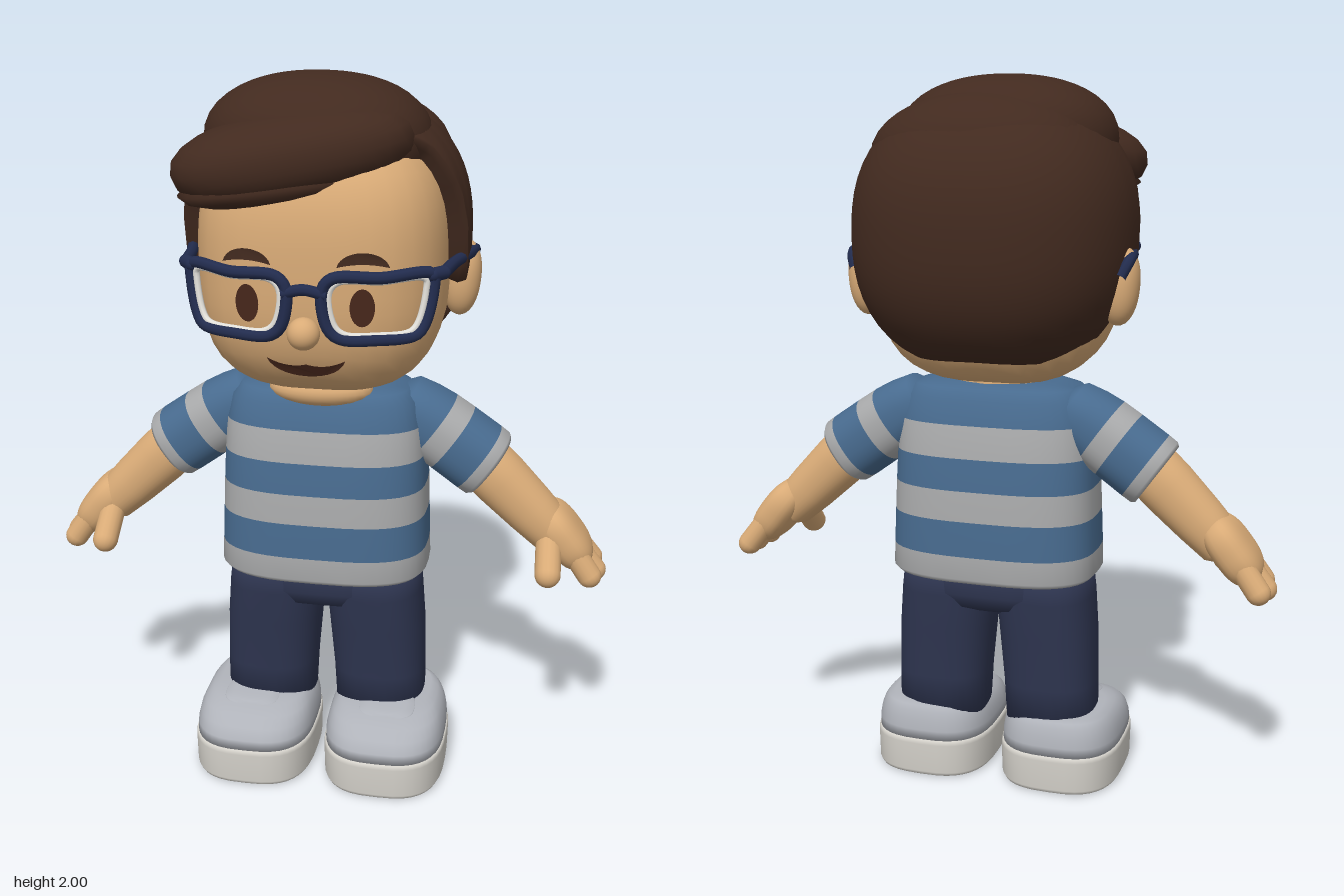
import * as THREE from 'three';
import { mergeVertices } from 'three/addons/utils/BufferGeometryUtils.js';

const mat = (name, color) => Object.assign(new THREE.MeshStandardMaterial({ color }), { name });
const V = (x, y, z) => new THREE.Vector3(x, y, z);
const HEAD_Y = 1.52;
const HEAD = { rx: 0.33, up: 0.36, down: 0.35, front: 0.335, back: 0.24, n: 3 };
const HAIR = { rx: 0.385, up: 0.37, down: 0.38, front: 0.335, back: 0.385, n: 2.4 };

// Distance to a rounded-box-like surface along a direction
function reach(d, s) {
  const q = (v, r) => Math.pow(Math.abs(v) / r, s.n);
  return Math.pow(q(d.x, s.rx) + q(d.y, d.y > 0 ? s.up : s.down) + q(d.z, d.z > 0 ? s.front : s.back), -1 / s.n);
}

function smooth(geo) {
  geo.deleteAttribute('normal');
  geo.deleteAttribute('uv');
  const g = mergeVertices(geo, 1e-5);
  g.computeVertexNormals();
  return g;
}

function blob(s) {
  const g = new THREE.SphereGeometry(1, 40, 28), p = g.attributes.position, d = V();
  for (let i = 0; i < p.count; i++) {
    d.fromBufferAttribute(p, i).normalize();
    d.multiplyScalar(reach(d, s));
    p.setXYZ(i, d.x, d.y, d.z);
  }
  return smooth(g);
}
const egg = (rx, ry, rz, n = 2) => blob({ rx, up: ry, down: ry, front: rz, back: rz, n });

// Stacked superellipse rings [y, halfX, halfZ, centreX, centreZ], one group per band
function loft(rings, n = 2, bands = null, seg = 40) {
  const pos = [], idx = [], g = new THREE.BufferGeometry();
  const pw = (v) => Math.sign(v) * Math.pow(Math.abs(v), 2 / n);
  for (const [y, hx, hz, cx = 0, cz = 0] of rings)
    for (let j = 0; j < seg; j++) {
      const a = (j / seg) * Math.PI * 2;
      pos.push(cx + hx * pw(Math.cos(a)), y, cz + hz * pw(Math.sin(a)));
    }
  const last = rings.length - 1, c0 = rings.length * seg;
  for (const r of [rings[0], rings[last]]) pos.push(r[3] || 0, r[0], r[4] || 0);
  for (let i = 0; i <= last; i++)
    for (let j = 0; j < seg; j++) {
      const k = (j + 1) % seg, a = i * seg + j, b = i * seg + k;
      if (i === 0) idx.push(c0, j, k);
      if (i < last) idx.push(a, a + seg, b + seg, a, b + seg, b);
      else idx.push(c0 + 1, b, a);
    }
  g.setAttribute('position', new THREE.Float32BufferAttribute(pos, 3));
  g.setIndex(idx);
  g.computeVertexNormals();
  if (bands) {
    let start = 0;
    for (let i = 0; i <= last; i++) {
      const count = seg * (i === 0 ? 9 : i < last ? 6 : 3);
      g.addGroup(start, count, bands[Math.min(i, bands.length - 1)]);
      start += count;
    }
  }
  return g;
}

// Hair cap whose lower edge follows the hairline (azimuth from front, elevation)
function hairCap() {
  const line = [[0, 45], [58, 42], [67, 36], [78, 13], [82, -6], [85, -19], [96, -19], [103, -45], [115, -56], [181, -56]];
  const hem = (az) => {
    const i = Math.max(1, line.findIndex((l) => l[0] >= az));
    const [a, b] = [line[i - 1], line[i]];
    return a[1] + ((b[1] - a[1]) * (az - a[0])) / (b[0] - a[0]);
  };
  const g = new THREE.SphereGeometry(1, 108, 30), p = g.attributes.position, uv = g.attributes.uv, d = V();
  for (let i = 0; i < p.count; i++) {
    const phi = uv.getX(i) * Math.PI * 2, v = 1 - uv.getY(i);
    const x = -Math.cos(phi), z = Math.sin(phi);
    const low = hem(THREE.MathUtils.radToDeg(Math.abs(Math.atan2(x, z))));
    const el = THREE.MathUtils.degToRad(90 - (90 - low) * Math.min(1, v / 0.85));
    d.set(x * Math.cos(el), Math.sin(el), z * Math.cos(el));
    d.multiplyScalar(reach(d, HAIR) * (v > 0.85 ? 1 - 0.45 * (v - 0.85) / 0.15 : 1));
    p.setXYZ(i, d.x, d.y, d.z);
  }
  return smooth(g);
}

// Thin painted shape laid on the face
function faceZ(x, y) {
  const q = Math.pow(Math.abs(x) / HEAD.rx, 3) + Math.pow(Math.abs(y - HEAD_Y) / (y > HEAD_Y ? HEAD.up : HEAD.down), 3);
  return HEAD.front * Math.cbrt(Math.max(0, 1 - q));
}
function decal(shape) {
  const g = new THREE.ShapeGeometry(shape, 14), p = g.attributes.position;
  for (let i = 0; i < p.count; i++) p.setZ(i, faceZ(p.getX(i), p.getY(i)) + 0.008);
  g.computeVertexNormals();
  return g;
}

export function createModel() {
  const root = new THREE.Group();
  root.name = 'boyWithGlasses';
  const skin = mat('skin', 0xd9ab77), hair = mat('hair', 0x422a1f), blue = mat('shirtBlue', 0x486b8f);
  const grey = mat('shirtGrey', 0xa9aaab), denim = mat('trousers', 0x2e3550), shoeM = mat('shoe', 0xb0b3ba);
  const soleM = mat('sole', 0xd3d0c9), frameM = mat('glassesFrame', 0x222c4e), pale = mat('lensRim', 0xe4e2dc);
  const dark = mat('faceDark', 0x48281c);
  const add = (name, geo, m, x = 0, y = 0, z = 0) => {
    const o = new THREE.Mesh(geo, m);
    o.name = name;
    o.position.set(x, y, z);
    root.add(o);
    return o;
  };
  // Turns a part's local y axis from point a towards point b
  const aim = (o, a, b) => {
    o.position.copy(a);
    o.quaternion.setFromUnitVectors(V(0, 1, 0), b.clone().sub(a).normalize());
    return o;
  };
  const rod = (name, a, b, r, m) =>
    aim(add(name, new THREE.CapsuleGeometry(r, a.distanceTo(b), 8, 16).translate(0, a.distanceTo(b) / 2, 0), m), a, b);
  const tube = (name, pts, r, m, closed = false) =>
    add(name, new THREE.TubeGeometry(new THREE.CatmullRomCurve3(pts, closed), 64, r, 8, closed), m);

  // Head, nose, neck and open neckline
  add('head', blob(HEAD), skin, 0, HEAD_Y, 0);
  add('nose', egg(0.042, 0.042, 0.042), skin, 0, 1.39, 0.343);
  add('neck', loft([[1.08, 0.14, 0.115, 0, 0.015], [1.15, 0.14, 0.115, 0, 0.015], [1.26, 0.13, 0.11, 0, 0.01]]), skin);
  add('neckline', egg(0.145, 0.05, 0.075), skin, 0, 1.168, 0.1);

  // Hair: cap, crown lobes and swept fringe
  add('hairCap', hairCap(), hair, 0, 1.58, 0);
  add('hairCrown', egg(0.3, 0.17, 0.25, 2.2), hair, -0.02, 1.83, 0.03);
  add('hairBackLobe', egg(0.31, 0.17, 0.21), hair, 0.01, 1.785, -0.1);
  add('fringe', egg(0.315, 0.11, 0.175, 2.3), hair, -0.06, 1.81, 0.172).rotation.set(0, 0.2, 0.17);
  add('fringeLock', egg(0.25, 0.05, 0.13, 2.2), hair, -0.1, 1.74, 0.21).rotation.set(0, 0.12, 0.13);

  // Mouth
  const mouth = new THREE.Shape().moveTo(-0.102, 1.315);
  mouth.bezierCurveTo(-0.08, 1.243, 0.08, 1.243, 0.102, 1.315);
  mouth.quadraticCurveTo(0.05, 1.285, 0, 1.3).quadraticCurveTo(-0.05, 1.285, -0.102, 1.315);
  add('mouth', decal(mouth), dark);

  // Striped shirt body
  add('shirtBody', loft([
    [0.65, 0.24, 0.16], [0.622, 0.285, 0.195], [0.635, 0.297, 0.205], [0.7, 0.295, 0.203], [0.8, 0.291, 0.2],
    [0.885, 0.288, 0.193], [0.975, 0.284, 0.184], [1.065, 0.278, 0.168], [1.13, 0.262, 0.148],
    [1.16, 0.235, 0.128], [1.175, 0.18, 0.108],
  ].map(([y, x, z]) => [y, x, z, 0, 0.01]), 3, [1, 1, 1, 0, 1, 0, 1, 0]), [blue, grey]);

  // Hips
  add('hips', loft([[0.51, 0.13, 0.1], [0.53, 0.2, 0.14], [0.57, 0.255, 0.157], [0.66, 0.27, 0.16]]
    .map(([y, x, z]) => [y, x, z, 0, 0.012]), 3), denim);

  for (const s of [1, -1]) {
    const side = s > 0 ? 'left' : 'right';
    const P = (x, y, z = 0) => V(s * x, y, z);

    // Ear, eye and brow
    const ear = add(side + 'Ear', egg(0.05, 0.105, 0.058, 2.2), skin, s * 0.36, 1.452, -0.068);
    ear.rotation.z = -s * 0.08;
    add(side + 'Eye', decal(new THREE.Shape().absellipse(s * 0.147, 1.46, 0.031, 0.049, 0, Math.PI * 2)), dark);
    const brow = new THREE.Shape().moveTo(s * 0.083, 1.562);
    brow.bezierCurveTo(s * 0.095, 1.61, s * 0.195, 1.615, s * 0.213, 1.56).quadraticCurveTo(s * 0.15, 1.58, s * 0.083, 1.562);
    add(side + 'Brow', decal(brow), hair);

    // Glasses rim, pale lens edge and temple
    const rim = [[0.07, 1.532], [0.19, 1.535], [0.312, 1.534], [0.314, 1.5], [0.296, 1.41], [0.275, 1.382],
      [0.18, 1.376], [0.09, 1.379], [0.06, 1.405], [0.046, 1.5]];
    const bend = (k, dz) => rim.map(([x, y]) => {
      const u = 0.18 + (x - 0.18) * k;
      return P(u, 1.457 + (y - 1.457) * k, 0.336 - 3 * u ** 3 + dz);
    });
    tube(side + 'GlassesRim', bend(1, 0), 0.016, frameM, true);
    tube(side + 'LensEdge', bend(0.87, -0.004), 0.009, pale, true);
    rod(side + 'Hinge', P(0.312, 1.532, 0.245), P(0.336, 1.532, 0.215), 0.018, frameM);
    tube(side + 'Temple', [P(0.336, 1.531, 0.22), P(0.352, 1.531, 0.1), P(0.38, 1.53, -0.02), P(0.388, 1.522, -0.1), P(0.37, 1.48, -0.13)], 0.016, frameM);

    // Sleeve with stripes
    const sleeve = loft([[-0.04, 0.05, 0.06], [-0.015, 0.08, 0.09], [0.04, 0.093, 0.1], [0.095, 0.1, 0.104], [0.155, 0.102, 0.105],
      [0.248, 0.103, 0.105], [0.278, 0.102, 0.104], [0.288, 0.094, 0.096], [0.27, 0.08, 0.08]], 2.3, [0, 0, 0, 1, 0, 1]);
    aim(add(side + 'Sleeve', sleeve, [blue, grey]), P(0.225, 1.098, -0.01), P(0.455, 0.935, -0.01));

    // Forearm and hand
    const arm = loft([[-0.04, 0.08, 0.078], [0.1, 0.08, 0.079], [0.22, 0.073, 0.075], [0.31, 0.064, 0.074], [0.33, 0.05, 0.06]], 2.2);
    aim(add(side + 'Forearm', arm, skin), P(0.42, 0.965), P(0.63, 0.76));
    aim(add(side + 'Palm', egg(0.055, 0.105, 0.092, 2.7), skin), P(0.675, 0.738, -0.01), P(0.745, 0.648, -0.01));
    [[-0.06, -0.078, 0.755, 0.642], [-0.01, -0.012, 0.765, 0.634], [0.038, 0.048, 0.752, 0.64]].forEach(([z0, z1, x, y], i) =>
      rod(side + 'Finger' + (i + 1), P(0.69, 0.728, z0), P(x, y, z1), 0.034, skin));
    rod(side + 'Thumb', P(0.635, 0.735, 0.05), P(0.638, 0.668, 0.122), 0.036, skin);

    // Trouser leg
    add(side + 'Leg', loft([[0.17, 0.13, 0.122, 0.165, 0.01], [0.3, 0.133, 0.13, 0.161, 0.01], [0.45, 0.137, 0.143, 0.152, 0.012],
      [0.56, 0.137, 0.155, 0.143, 0.014], [0.64, 0.13, 0.157, 0.14, 0.014]].map((r) => [r[0], r[1], r[2], s * r[3], r[4]]), 2.6), denim);

    // Shoe
    const shoePart = (rings) => loft(rings.map(([y, x, z, cz]) => [y, x, z, s * 0.193, cz]), 2.9);
    add(side + 'Sole', shoePart([[0, 0.14, 0.19, 0.075], [0, 0.164, 0.213, 0.075], [0.004, 0.171, 0.22, 0.075],
      [0.014, 0.176, 0.224, 0.075], [0.1, 0.178, 0.226, 0.075], [0.113, 0.175, 0.223, 0.075], [0.115, 0.15, 0.2, 0.075]]), soleM);
    add(side + 'ShoeUpper', shoePart([[0.11, 0.173, 0.22, 0.075], [0.14, 0.173, 0.215, 0.073], [0.17, 0.167, 0.203, 0.066],
      [0.192, 0.157, 0.183, 0.054], [0.208, 0.142, 0.155, 0.034], [0.218, 0.12, 0.122, 0.015]]), shoeM);
    add(side + 'ShoeTongue', egg(0.085, 0.014, 0.06, 3.5), shoeM, s * 0.2, 0.208, 0.135).rotation.x = 0.16;
  }

  // Glasses bridge
  tube('glassesBridge', [V(-0.055, 1.49, 0.337), V(0, 1.503, 0.342), V(0.055, 1.49, 0.337)], 0.015, frameM);
  return root;
}
